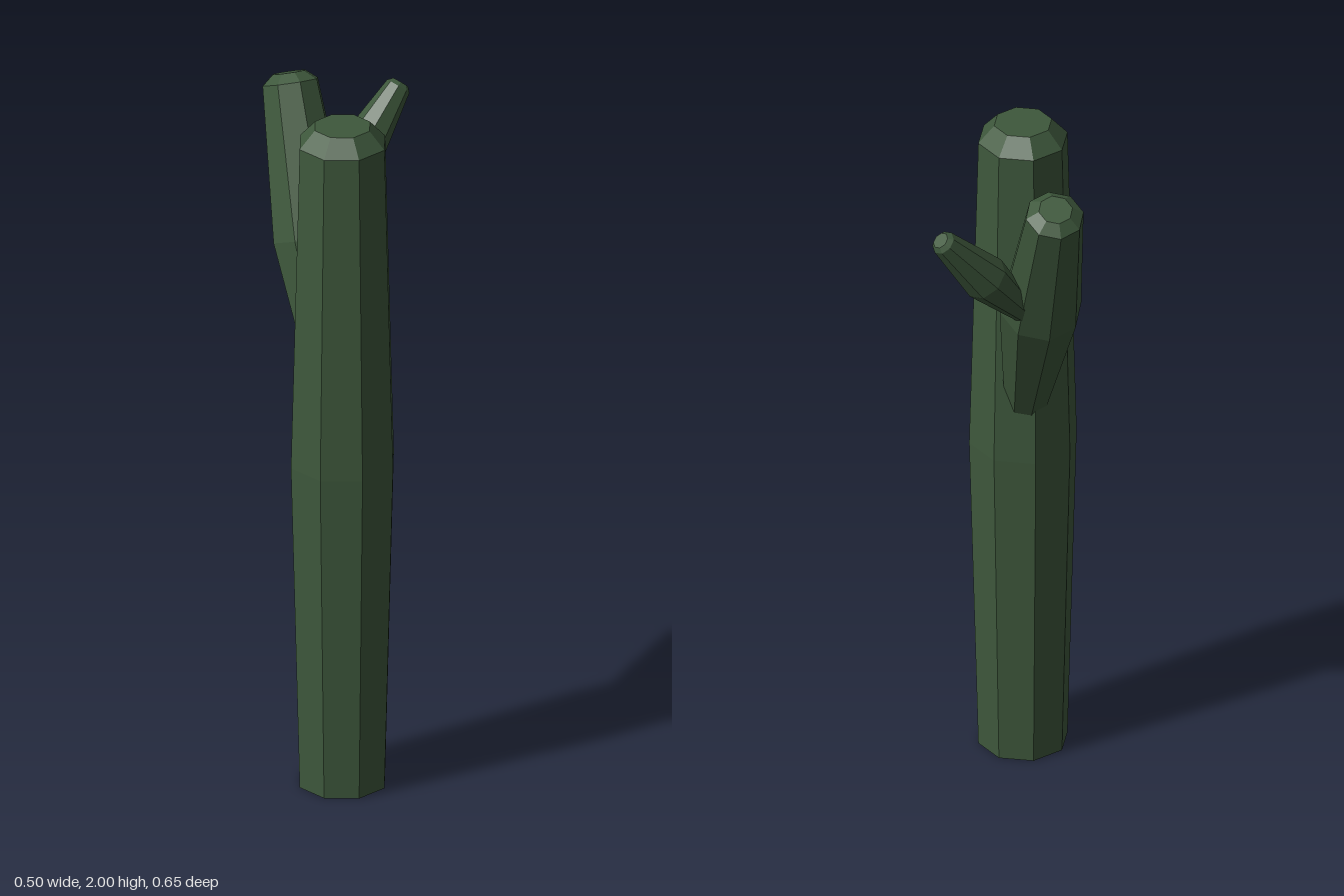
import * as THREE from 'three';

const V = (x, y, z) => new THREE.Vector3(x, y, z);

// Eight-sided faceted stem: rings are [radius, height along the axis], closed at both ends
function stemGeometry(rings) {
  const profile = [[0, rings[0][1]], ...rings, [0, rings[rings.length - 1][1]]];
  const lathe = new THREE.LatheGeometry(profile.map(([r, y]) => new THREE.Vector2(r, y)), 8);
  const flat = lathe.toNonIndexed();
  flat.computeVertexNormals();
  return flat;
}

// Stem whose widest ring sits at `middle` and whose shoulder sits at `shoulder`
function makeStem(name, material, middle, shoulder, rings) {
  const mesh = new THREE.Mesh(stemGeometry(rings), material);
  mesh.name = name;
  const axis = shoulder.clone().sub(middle).normalize();
  // Keep one pair of ridges level, perpendicular to the lean
  const side = Math.hypot(axis.x, axis.z) < 1e-4 ? V(1, 0, 0) : V(axis.z, 0, -axis.x).normalize();
  const depth = side.clone().cross(axis);
  mesh.quaternion.setFromRotationMatrix(new THREE.Matrix4().makeBasis(side, axis, depth));
  mesh.position.copy(middle);
  return mesh;
}

export function createModel() {
  const group = new THREE.Group();
  group.name = 'cactus';
  const green = new THREE.MeshStandardMaterial({ color: 0x3e583c });
  green.name = 'cactusGreen';

  group.add(
    // Upright trunk with a bevelled top
    makeStem('trunk', green, V(-0.1, 0.98, 0.172), V(-0.1, 1.95, 0.172),
      [[0.127, -0.98], [0.153, 0], [0.127, 0.97], [0.082, 1.02]]),
    // Large arm leaning backwards from the trunk
    makeStem('largeArm', green, V(-0.09, 1.55, -0.08), V(-0.09, 1.95, -0.25),
      [[0.063, -0.43], [0.116, 0], [0.082, 0.435], [0.048, 0.462]]),
    // Small arm growing sideways from the large arm
    makeStem('smallArm', green, V(0.092, 1.735, -0.185), V(0.222, 1.893, -0.227),
      [[0.035, -0.2], [0.067, 0], [0.036, 0.209], [0.024, 0.222]]),
  );
  return group;
}
